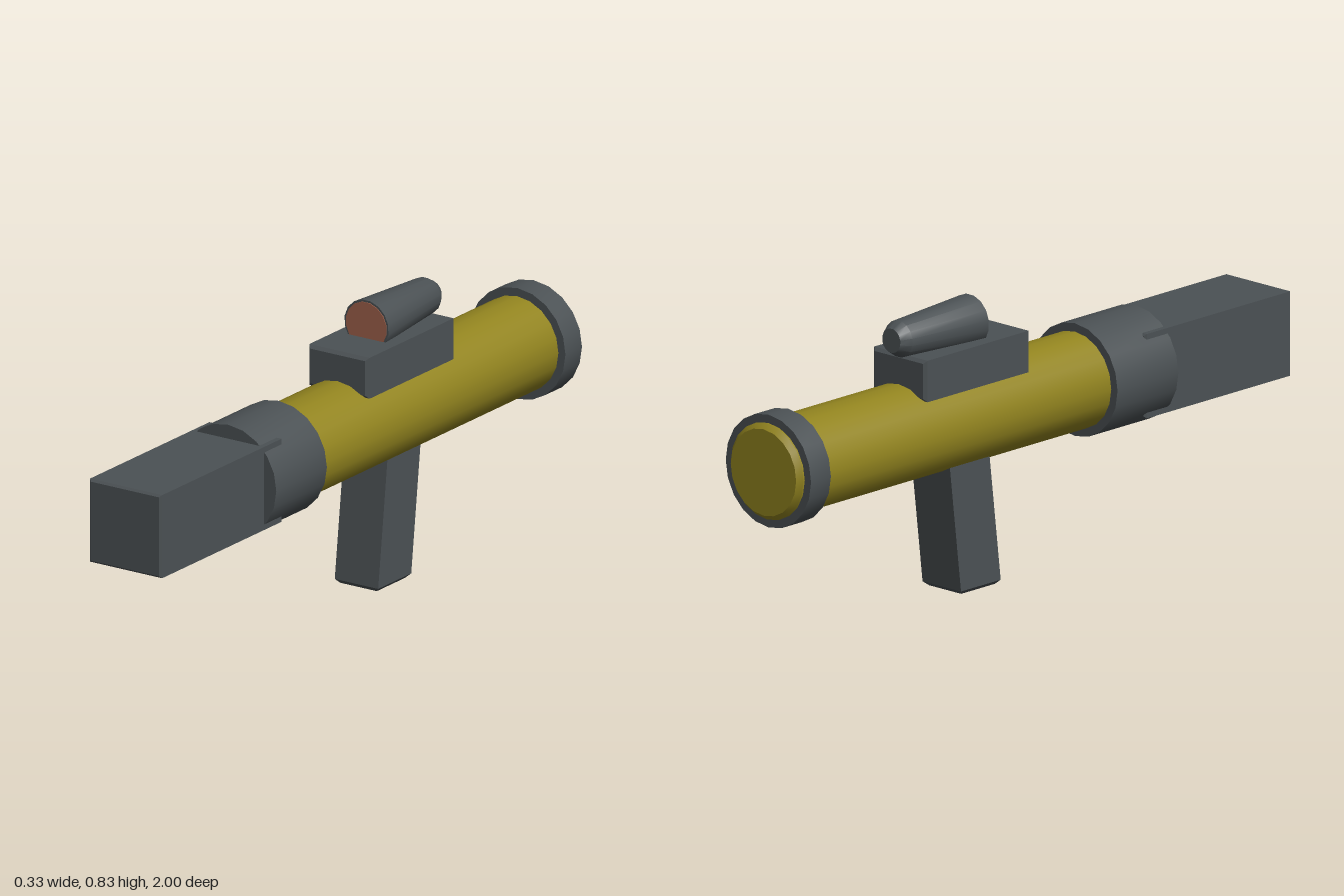
import * as THREE from 'three';
import { toCreasedNormals } from 'three/addons/utils/BufferGeometryUtils.js';

const mat = (name, color) => {
  const m = new THREE.MeshStandardMaterial({ color });
  m.name = name;
  return m;
};

// Lathe along z; profile is [radius, z] from back to front, relative to the axis.
function turned(profile, sides, phase = 0) {
  const pts = profile.map(([r, z]) => new THREE.Vector2(r, z));
  const g = new THREE.LatheGeometry(pts, sides, phase);
  g.rotateX(Math.PI / 2);
  return toCreasedNormals(g, 0.55);
}

// Block running along z from z0 to z1, with chamfered ends.
function block(w, h, z0, z1, c) {
  const a = w / 2 - c, b = h / 2 - c;
  const s = new THREE.Shape([[-a, -b], [a, -b], [a, b], [-a, b]].map(([x, y]) => new THREE.Vector2(x, y)));
  const g = new THREE.ExtrudeGeometry(s, {
    depth: z1 - z0 - 2 * c, bevelEnabled: true, bevelSize: c, bevelThickness: c, bevelSegments: 1,
  });
  g.translate(0, 0, z0 + c);
  return g;
}

export function createModel() {
  const group = new THREE.Group();
  const grey = mat('dark grey', 0x4b5154);
  const olive = mat('olive yellow', 0x92841f);
  const red = mat('lens red', 0xa0624c);
  const axisY = 0.495;

  const add = (name, geometry, material, y = 0) => {
    const mesh = new THREE.Mesh(geometry, material);
    mesh.name = name;
    mesh.position.y = y;
    group.add(mesh);
    return mesh;
  };

  // Main tube with a chamfered rear end
  add('tube', turned([[0, -1], [0.125, -1], [0.139, -0.985], [0.139, 0.3], [0, 0.3]], 20), olive, axisY);

  // Collars at both ends
  for (const [name, z0, z1] of [['rearCollar', -0.98, -0.9], ['frontCollar', 0.255, 0.5]]) {
    add(name, turned([[0, z0], [0.163, z0], [0.163, z1], [0, z1]], 20), grey, axisY);
  }

  // Square muzzle block, its corners showing through the collar
  add('muzzleBlock', block(0.244, 0.244, 0.41, 1, 0.006), grey, axisY);

  // Sight mount
  add('sightMount', block(0.204, 0.12, -0.455, -0.03, 0.009), grey, 0.66);

  // Tapered sight and its lens
  const sight = new THREE.Group();
  sight.name = 'sight';
  sight.position.set(0, 0.758, -0.17);
  sight.rotation.x = 0.024;
  const body = new THREE.Mesh(
    turned([[0, -0.315], [0.035, -0.315], [0.053, -0.285], [0.075, 0], [0, 0]], 16, Math.PI / 16), grey);
  body.name = 'sightBody';
  const lens = new THREE.Mesh(turned([[0.069, 0], [0.069, 0.002], [0, 0.002]], 16, Math.PI / 16), red);
  lens.name = 'sightLens';
  sight.add(body, lens);
  group.add(sight);

  // Slanted grip: an upright block sheared backwards with height
  const grip = block(0.147, 0.16, 0, 0.42, 0.012);
  grip.rotateX(-Math.PI / 2);
  const shear = new THREE.Matrix4().set(
    1, 0, 0, 0,
    0, 1, 0, 0,
    0, -0.122, 1, -0.2,
    0, 0, 0, 1);
  grip.applyMatrix4(shear);
  grip.computeVertexNormals();
  add('grip', grip, grey);

  return group;
}
